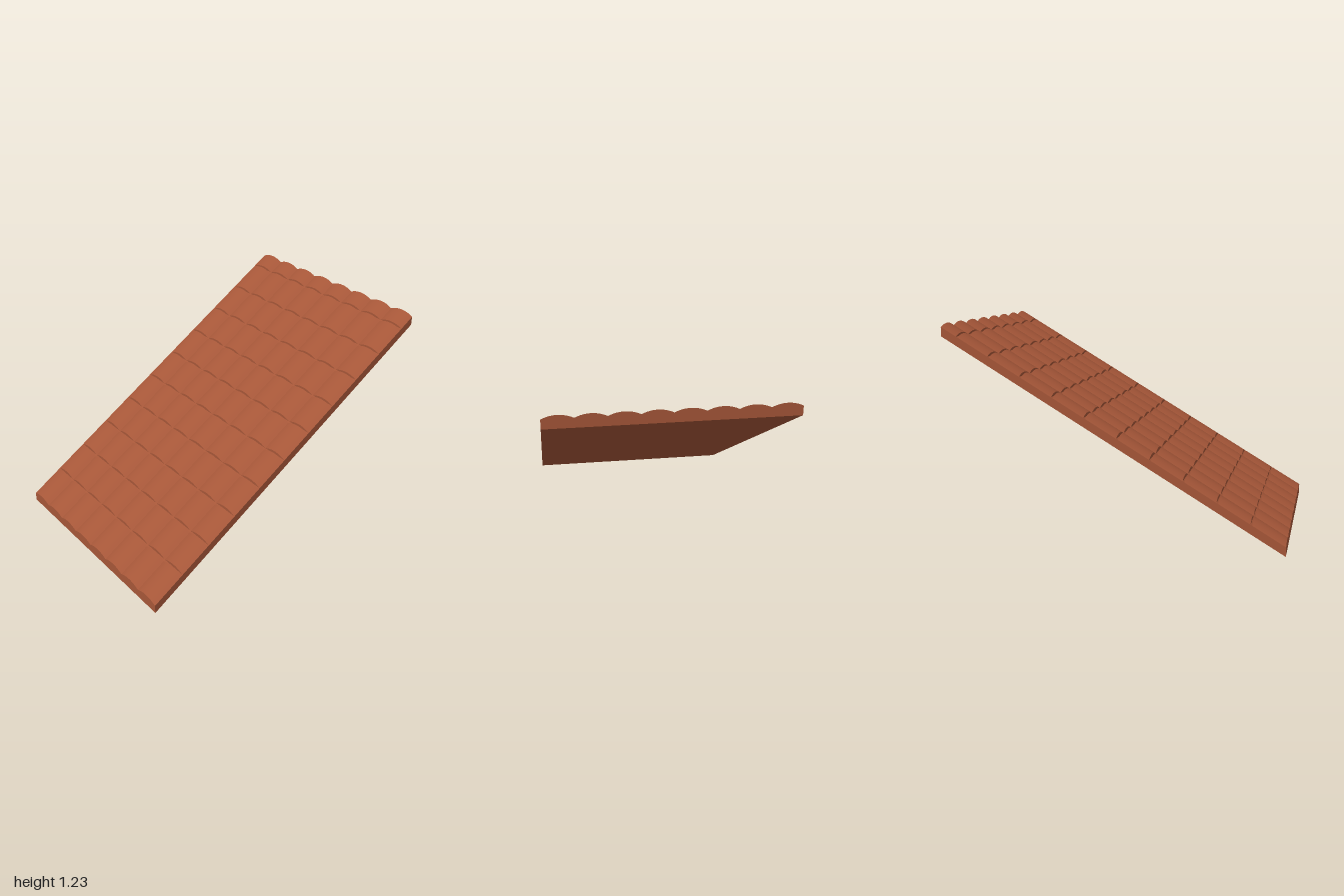
import * as THREE from 'three';

const RISE = 1.159;               // height gained along the slope
const SLAB = 0.054;               // vertical thickness of the slab
const DEPTH = 1.333;
const ROWS = 8, COURSES = 11;
const PITCH = 0.1903, GAP = 0.01, FIRST_GAP = -0.809;

// Lean a level geometry along the pitch, keeping its ends vertical
function slope(geometry) {
  const p = geometry.attributes.position;
  for (let i = 0; i < p.count; i++) {
    p.setY(i, p.getY(i) + (p.getX(i) + 1) * RISE / 2);
  }
  geometry.computeVertexNormals();
  return geometry;
}

// Low domed tile between two x positions
function tileGeometry(x0, x1, z) {
  const half = 0.0815, height = 0.0195, base = SLAB - 0.002, steps = 12;
  const radius = (half * half + height * height) / (2 * height);
  const spread = Math.asin(half / radius);
  const shape = new THREE.Shape();
  shape.moveTo(-half, base);
  shape.lineTo(half, base);
  for (let i = 0; i <= steps; i++) {
    const a = spread * (1 - 2 * i / steps);
    shape.lineTo(radius * Math.sin(a), SLAB + height - radius * (1 - Math.cos(a)));
  }
  const g = new THREE.ExtrudeGeometry(shape, { depth: x1 - x0, bevelEnabled: false });
  g.rotateY(Math.PI / 2);
  g.translate(x0, 0, z);
  return slope(g);
}

export function createModel() {
  const roof = new THREE.Group();
  roof.name = 'tiledRoofPanel';
  const clay = new THREE.MeshStandardMaterial({ color: 0xa55638 });

  // Sloping slab
  const box = new THREE.BoxGeometry(2, SLAB, DEPTH);
  box.translate(0, SLAB / 2, 0);
  const slab = new THREE.Mesh(slope(box), clay);
  slab.name = 'roofSlab';
  roof.add(slab);

  // Courses of tiles, separated by narrow grooves
  for (let c = 0; c < COURSES; c++) {
    const course = new THREE.Group();
    course.name = 'tileCourse' + (c + 1);
    const x0 = c === 0 ? -1 : FIRST_GAP + (c - 1) * PITCH + GAP / 2;
    const x1 = c === COURSES - 1 ? 1 : FIRST_GAP + c * PITCH - GAP / 2;
    for (let r = 0; r < ROWS; r++) {
      const z = ((r + 0.5) / ROWS - 0.5) * DEPTH;
      const tile = new THREE.Mesh(tileGeometry(x0, x1, z), clay);
      tile.name = 'roofTile';
      course.add(tile);
    }
    roof.add(course);
  }
  return roof;
}
